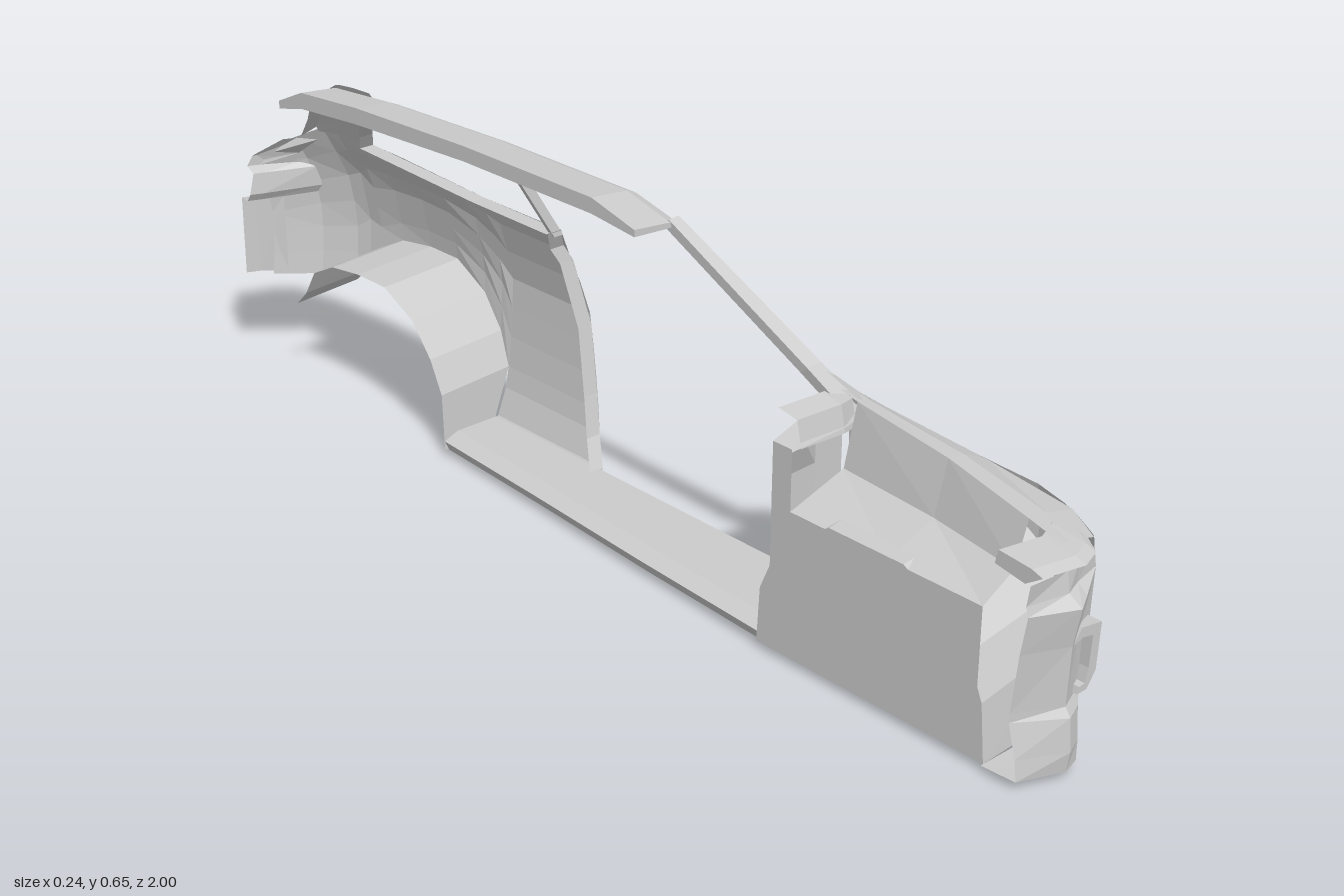
import * as THREE from 'three';

const mat = new THREE.MeshStandardMaterial({ color: 0xcccccc, flatShading: true, side: THREE.DoubleSide });

// piecewise-linear lookup in [[key, value], ...] with ascending keys
function look(table, v) {
  if (v <= table[0][0]) return table[0][1];
  for (let i = 1; i < table.length; i++) {
    const [a, fa] = table[i - 1], [b, fb] = table[i];
    if (v <= b) return fa + (fb - fa) * (v - a) / (b - a);
  }
  return table[table.length - 1][1];
}
const spread = (lo, hi, steps) => Array.from({ length: steps + 1 }, (_, i) => lo + (hi - lo) * i / steps);

// body side: bulge by height, wrapped inwards at nose and tail
const bulge = [[0, 0.03], [0.03, 0.075], [0.1, 0.102], [0.2, 0.115], [0.3, 0.12], [0.4, 0.1],
  [0.46, 0.065], [0.5, 0.045], [0.56, 0.01], [0.6, -0.015], [0.64, -0.04]];
const wrap = [[-1, 0.19], [-0.97, 0.14], [-0.92, 0.06], [-0.85, 0.015], [-0.7, 0],
  [0.8, 0], [0.88, 0.02], [0.95, 0.06], [1, 0.1]];
const sideX = (y, z) => look(bulge, y) - look(wrap, z);

export function createModel() {
  const car = new THREE.Group();

  // surface through rows of [x, y, z] points
  function loft(name, rows, closed = false) {
    const n = rows[0].length, idx = [];
    for (let r = 0; r + 1 < rows.length; r++) {
      for (let c = 0; c < (closed ? n : n - 1); c++) {
        const a = r * n + c, b = r * n + (c + 1) % n;
        idx.push(a, b, b + n, a, b + n, a + n);
      }
    }
    const g = new THREE.BufferGeometry();
    g.setAttribute('position', new THREE.Float32BufferAttribute(rows.flat(2), 3));
    g.setIndex(idx);
    g.computeVertexNormals();
    const mesh = new THREE.Mesh(g, mat);
    mesh.name = name;
    car.add(mesh);
  }
  // flat end on a closed section
  const cap = (name, row) => loft(name, [row, row.map(() => row[0])], true);

  const onSide = (y, z) => [sideX(y, z), y, z];
  // outer skin from stations [z, bottom, top]
  const skin = (name, stations, steps) =>
    loft(name, stations.map(([z, lo, hi]) => spread(lo, hi, steps).map(y => onSide(y, z))));
  // upright strip of outer skin between two edges
  const strip = (name, heights, edgeA, edgeB) =>
    loft(name, heights.map(y => [onSide(y, edgeA(y)), onSide(y, edgeB)]));
  // inward return along an edge of [z, y] points
  const flange = (name, pts, inner, drop = 0) => loft(name, [
    pts.map(([z, y]) => onSide(y, z)),
    pts.map(([z, y]) => [inner(y, z), Math.max(0.012, y - drop), z])]);

  const rearArch = [[-0.415, 0.02], [-0.42, 0.13], [-0.45, 0.19], [-0.5, 0.25], [-0.58, 0.29],
    [-0.66, 0.29], [-0.74, 0.28], [-0.8, 0.25], [-0.83, 0.2], [-0.86, 0.17]];
  const frontArch = [[0.435, 0.012], [0.44, 0.14], [0.47, 0.21], [0.52, 0.26], [0.58, 0.3],
    [0.73, 0.3], [0.8, 0.26], [0.86, 0.21], [0.89, 0.14], [0.9, 0.02]];
  const doorEdge = [[0.02, -0.13], [0.04, -0.13], [0.09, -0.16], [0.16, -0.18], [0.28, -0.205],
    [0.4, -0.23], [0.43, -0.235], [0.47, -0.215]];

  // rear quarter panel: door edge to wheel arch, then over the arch to the tail
  strip('rearQuarterFront', [0.02, 0.04, 0.09, ...spread(0.13, 0.47, 6)], y => look(doorEdge, y), -0.42);
  const belt = [[-0.92, 0.46], [-0.86, 0.495], [-0.8, 0.5], [-0.74, 0.49], [-0.42, 0.47]];
  skin('rearQuarterPanel', [...rearArch.slice(1).map(([z, y]) => [z, y, look(belt, z)]),
    [-0.92, 0.175, 0.465], [-0.97, 0.18, 0.43]], 6);
  // tail corner rows [height, z, inner x]: bumper, lamp recess, lamp
  loft('tailCorner', [[0.185, -1, -0.07], [0.34, -1, -0.07], [0.345, -0.965, -0.08], [0.36, -0.955, -0.08],
    [0.4, -0.955, -0.07], [0.41, -0.975, -0.07], [0.43, -0.97, -0.06], [0.465, -0.925, -0.02]]
    .map(([y, z, x]) => [[x, y, z], [x + 0.025, y, z + 0.01], [sideX(y, z + 0.045), y, z + 0.045]]));
  flange('rearWheelHousing', rearArch, () => -0.05, 0.01);
  flange('doorJamb', doorEdge.map(([y, z]) => [z, y]), (y, z) => sideX(y, z) - 0.03);

  // rear roof pillar and its hatch flange
  skin('rearPillar', [[-0.62, 0.595, 0.635], [-0.67, 0.57, 0.632], [-0.71, 0.52, 0.627],
    [-0.73, 0.49, 0.622], [-0.79, 0.49, 0.58], [-0.87, 0.485, 0.495]], 3);
  flange('hatchFlange', [[-0.73, 0.622], [-0.79, 0.58], [-0.83, 0.54], [-0.87, 0.495]],
    (y, z) => sideX(y, z) - 0.035, 0.01);

  // rear side window surround and slim centre pillar
  flange('windowSurround', [[-0.235, 0.617], [-0.62, 0.595], [-0.67, 0.57], [-0.71, 0.52], [-0.73, 0.49],
    [-0.42, 0.47], [-0.22, 0.468]], (y, z) => sideX(y, z) - 0.03);
  loft('centrePillar', [[-0.215, 0.46], [-0.23, 0.62]].map(([z, y]) => {
    const x = sideX(y, z);
    return [[x, y, z], [x, y, z - 0.01], [x - 0.02, y, z - 0.01], [x - 0.02, y, z]];
  }), true);

  // roof rail and roof edge strip: [z, top, underside, rail bottom]
  const roof = [[0.17, 0.63, 0.618, 0.615], [0.07, 0.655, 0.628, 0.62], [-0.25, 0.655, 0.628, 0.617],
    [-0.55, 0.645, 0.615, 0.6], [-0.71, 0.632, 0.602, 0.61], [-0.78, 0.6, 0.585, 0.583]]
    .map(([z, top, under, rail]) => [
      [sideX(rail, z), rail, z], [-0.025, top - 0.016, z], [-0.045, top - 0.007, z],
      [-0.12, top, z], [-0.12, under, z], [-0.05, under - 0.004, z]]);
  loft('roofRail', roof, true);
  cap('roofFrontEnd', roof[0]);
  cap('roofRearEnd', roof[roof.length - 1]);

  // windscreen pillar and the small gusset at its foot
  loft('windscreenPillar', [[-0.03, 0.62, 0.16], [-0.005, 0.535, 0.285], [0.025, 0.44, 0.42], [0.05, 0.395, 0.46]]
    .map(([x, y, z], i) => {
      const w = 0.014 + 0.003 * i;
      return [[x + w, y - 0.006, z - 0.008], [x + w * 0.5, y + 0.008, z + 0.006],
        [x - w, y + 0.006, z + 0.006], [x - w, y - 0.006, z - 0.008]];
    }), true);
  loft('pillarGusset', [[[0.035, 0.445, 0.415], [0.09, 0.385, 0.415]], [[0.04, 0.41, 0.5], [0.095, 0.378, 0.5]]]);

  // sill, slightly wider towards the front
  const sill = [[0.44, -0.1], [0.15, -0.085], [-0.15, -0.065], [-0.415, -0.05]].map(([z, inX]) => [
    [0.02, 0, z], [0.075, 0.03, z], [0.07, 0.042, z], [inX + 0.03, 0.042, z], [inX, 0.03, z],
    [inX + 0.01, 0.01, z], [inX + 0.05, 0, z]]);
  loft('sill', sill, true);
  cap('sillFrontEnd', sill[0]);
  cap('sillRearEnd', sill[3]);

  // front fender: strip at the door, over the arch, and the nose side
  const fenderTop = [[0.42, 0.385], [0.6, 0.365], [0.95, 0.35]];
  const topAt = z => look(fenderTop, z);
  strip('fenderRearEdge', [0.015, 0.08, ...spread(0.14, topAt(0.44), 4)], () => 0.415, 0.44);
  skin('frontFender', frontArch.slice(1, 9).map(([z, y]) => [z, y, topAt(z)]), 4);
  strip('noseSide', [0.015, 0.08, ...spread(0.14, topAt(0.89), 4)], () => 0.89, 0.95);
  flange('frontWheelHousing', frontArch, () => -0.1, 0.03);
  loft('frontWheelWall', [frontArch.map(([z, y]) => [-0.1, Math.max(0.012, y - 0.03), z]),
    frontArch.map(([z]) => [-0.1, 0.012, z])]);

  // fender shoulder, then down the engine bay side to the shelf
  const shoulder = [[0.415, 0.05, 0.415], [0.5, 0.04, 0.405], [0.7, 0.022, 0.39], [0.88, -0.01, 0.373], [0.95, -0.025, 0.367]];
  loft('fenderShoulder', shoulder.map(([z, x, y]) => {
    const t = topAt(z), o = sideX(t, z);
    return [[o, t, z], [x + (o - x) * 0.4, y - 0.005, z], [x, y, z]];
  }));
  loft('engineBaySide', shoulder.slice(1, 4).map(([z, x, y]) => [
    [x, y, z], [x - 0.025, 0.3, z], [-0.1, 0.265, z], [-0.1, 0.012, z]]));

  // hinge pillar box behind the front wheel, its corner fading out towards the top
  const hinge = [[0.1, 0.416], [0.04, 0.416], [-0.04, 0.42], [-0.1, 0.46], [-0.1, 0.5]];
  loft('hingePillar', [[0.015, 1], [0.13, 1], [0.27, 1], [0.37, 0]].map(([y, corner]) => hinge.map(([x, z], i) =>
    [Math.min(x, sideX(y, z)), y, z + (i === 2 ? (1 - corner) * 0.035 : 0)])));
  loft('hingePillarTop', [[[0.09, 0.38, 0.416], [0.04, 0.375, 0.42], [-0.1, 0.37, 0.46]],
    [[0.06, 0.38, 0.5], [0.02, 0.37, 0.5], [-0.1, 0.365, 0.5]]]);
  // cowl panel under the windscreen
  loft('cowlPanel', [[0.36, 0.5], [0.405, 0.49], [0.412, 0.45]].map(([y, z]) =>
    [[-0.07, y - 0.003, z - 0.01], [0.015, y, z], [0.05, y - 0.004, z - 0.01]]));

  // front bumper: [height, inner z, nose z, corner z]
  const nose = [[0.012, 0.9, 0.9, 0.9], [0.015, 0.965, 0.995, 0.985], [0.05, 0.96, 1, 0.985], [0.105, 0.945, 0.995, 0.98],
    [0.12, 0.945, 0.985, 0.97], [0.22, 0.955, 0.988, 0.97], [0.285, 0.965, 1, 0.98],
    [0.3, 0.96, 0.975, 0.962], [0.335, 0.965, 0.97, 0.962]];
  loft('frontBumper', nose.map(([y, a, b, c]) => [
    [-0.105, y, a], [-0.03, y, b], [0.005, y, c], onSide(y, Math.min(b, 0.95))]));
  // corner intake surround
  const c = new THREE.Shape([[-0.02, 0.21], [0, 0.235], [0.045, 0.228], [0.04, 0.15], [0.022, 0.125], [0, 0.125],
    [0.004, 0.136], [0.017, 0.137], [0.023, 0.16], [0.027, 0.213], [0.004, 0.218]]
    .map(p => new THREE.Vector2(...p)));
  const trim = new THREE.Mesh(new THREE.ExtrudeGeometry(c, { depth: 0.025, bevelEnabled: false }), mat);
  trim.name = 'intakeSurround';
  trim.position.z = 0.955;
  car.add(trim);

  // bonnet leading edge bar
  const bar = [[-0.105, 0.985], [-0.03, 1], [0.01, 0.985], [0.035, 0.95]].map(([x, z]) => [
    [x, 0.335, z - 0.03], [x, 0.355, z], [x, 0.362, z - 0.02], [x, 0.368, z - 0.08], [x, 0.345, z - 0.085]]);
  loft('bonnetFrontBar', bar, true);
  cap('bonnetBarEnd', bar[0]);

  return car;
}
